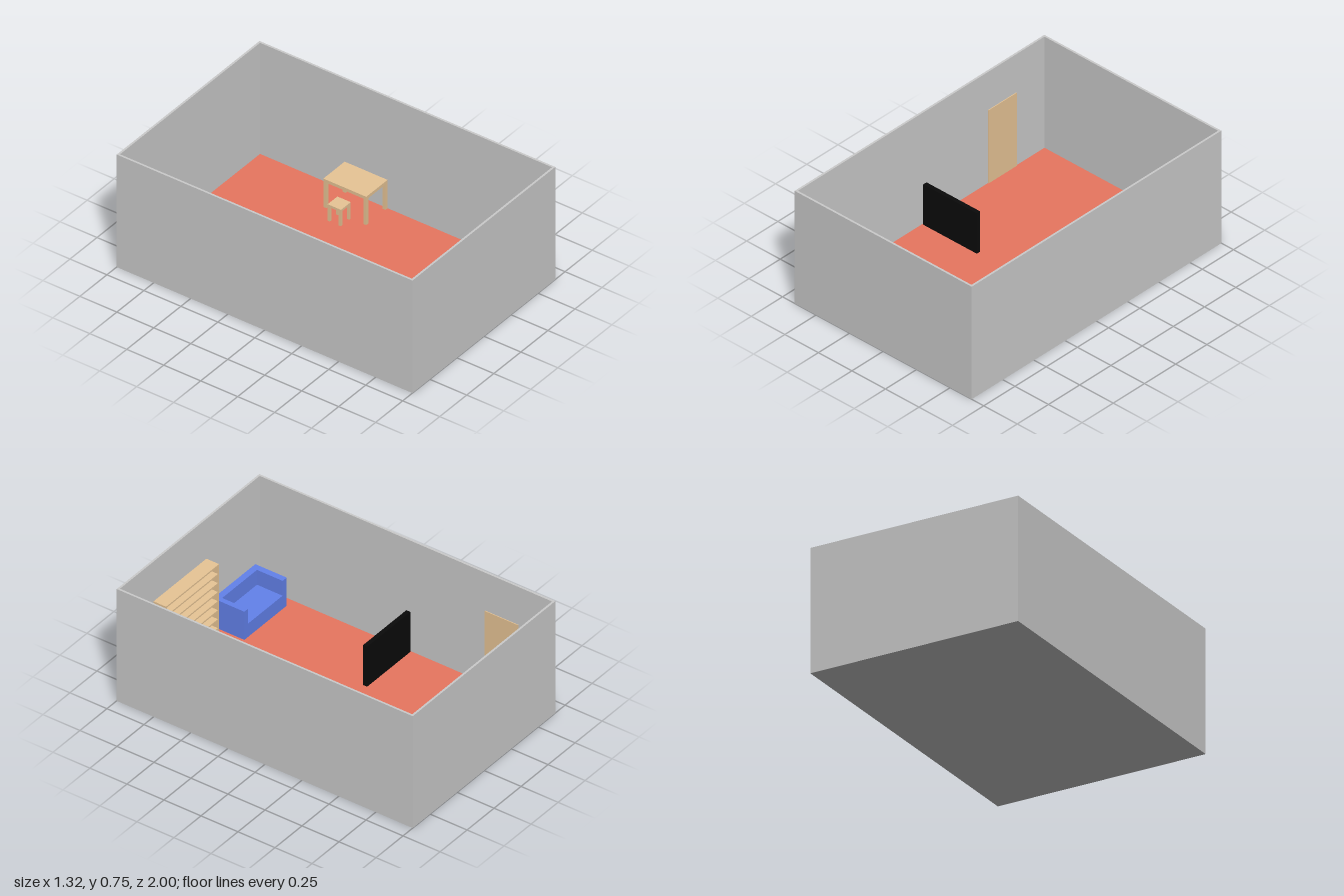
import * as THREE from 'three';

const mat = (color) => new THREE.MeshStandardMaterial({ color });
const grey = mat(0xcccccc);
const red = mat(0xe87660);
const wood = mat(0xe8c596);
const blue = mat(0x6382ec);
const black = mat(0x0a0a0a);

const FLOOR = 0.01; // top of the floor covering

// Box given by its extents on each axis
function box(parent, name, material, [x0, x1], [y0, y1], [z0, z1]) {
  const mesh = new THREE.Mesh(new THREE.BoxGeometry(x1 - x0, y1 - y0, z1 - z0), material);
  mesh.position.set((x0 + x1) / 2, (y0 + y1) / 2, (z0 + z1) / 2);
  mesh.name = name;
  parent.add(mesh);
  return mesh;
}

function group(parent, name) {
  const g = new THREE.Group();
  g.name = name;
  parent.add(g);
  return g;
}

// Flat top on four corner legs
function table(parent, name, [x0, x1], top, [z0, z1], thick, leg) {
  const g = group(parent, name);
  box(g, 'top', wood, [x0, x1], [top - thick, top], [z0, z1]);
  for (const x of [x0, x1 - leg])
    for (const z of [z0, z1 - leg])
      box(g, 'leg', wood, [x, x + leg], [FLOOR, top - thick], [z, z + leg]);
}

export function createModel() {
  const model = new THREE.Group();
  model.name = 'room';

  // Open-topped shell
  const W = 0.66, D = 1, H = 0.755, T = 0.013;
  const shell = group(model, 'shell');
  box(shell, 'base', grey, [-W, W], [0, 0.005], [-D, D]);
  box(shell, 'floor', red, [-W + T, W - T], [0.005, FLOOR], [-D + T, D - T]);
  for (const s of [-1, 1]) {
    const side = box(shell, 'sideWall', grey, [W - T, W], [0.005, H], [-D, D]);
    side.position.x *= s;
    const end = box(shell, 'endWall', grey, [-W + T, W - T], [0.005, H], [D - T, D]);
    end.position.z *= s;
  }

  // Door on the right-hand wall and the low dark partition
  box(model, 'door', wood, [-0.65, -0.642], [FLOOR, 0.5], [-0.76, -0.535]);
  box(model, 'partition', black, [-0.64, -0.24], [FLOOR, 0.28], [-0.035, -0.008]);

  // Desk and stool
  table(model, 'desk', [0.45, 0.647], 0.2, [-0.415, -0.125], 0.02, 0.02);
  table(model, 'stool', [0.36, 0.45], 0.12, [-0.32, -0.23], 0.015, 0.015);

  // Bed with mattress and pillow
  const bed = group(model, 'bed');
  box(bed, 'frame', wood, [0.376, 0.596], [FLOOR, 0.08], [0.48, 0.97]);
  box(bed, 'mattress', grey, [0.386, 0.594], [0.08, 0.087], [0.483, 0.965]);
  box(bed, 'pillow', grey, [0.39, 0.577], [0.087, 0.102], [0.867, 0.955]);

  // Bookshelf
  const shelf = group(model, 'bookshelf');
  const top = 0.508, board = 0.01, bays = 8;
  box(shelf, 'back', wood, [-0.13, 0.36], [FLOOR, top], [0.96, 0.97]);
  for (const x of [-0.13, 0.35])
    box(shelf, 'side', wood, [x, x + 0.01], [FLOOR, top], [0.885, 0.96]);
  for (let i = 0; i <= bays; i++) {
    const y = FLOOR + (i / bays) * (top - board - FLOOR);
    box(shelf, 'board', wood, [-0.12, 0.35], [y, y + board], [0.885, 0.96]);
  }

  // Sofa facing the back of the room
  const sofa = group(model, 'sofa');
  box(sofa, 'seat', blue, [-0.55, -0.228], [FLOOR, 0.1], [0.762, 0.935]);
  box(sofa, 'backrest', blue, [-0.588, -0.196], [FLOOR, 0.2], [0.935, 0.974]);
  box(sofa, 'arm', blue, [-0.588, -0.55], [FLOOR, 0.2], [0.762, 0.935]);
  box(sofa, 'arm', blue, [-0.228, -0.196], [FLOOR, 0.2], [0.762, 0.935]);

  return model;
}
